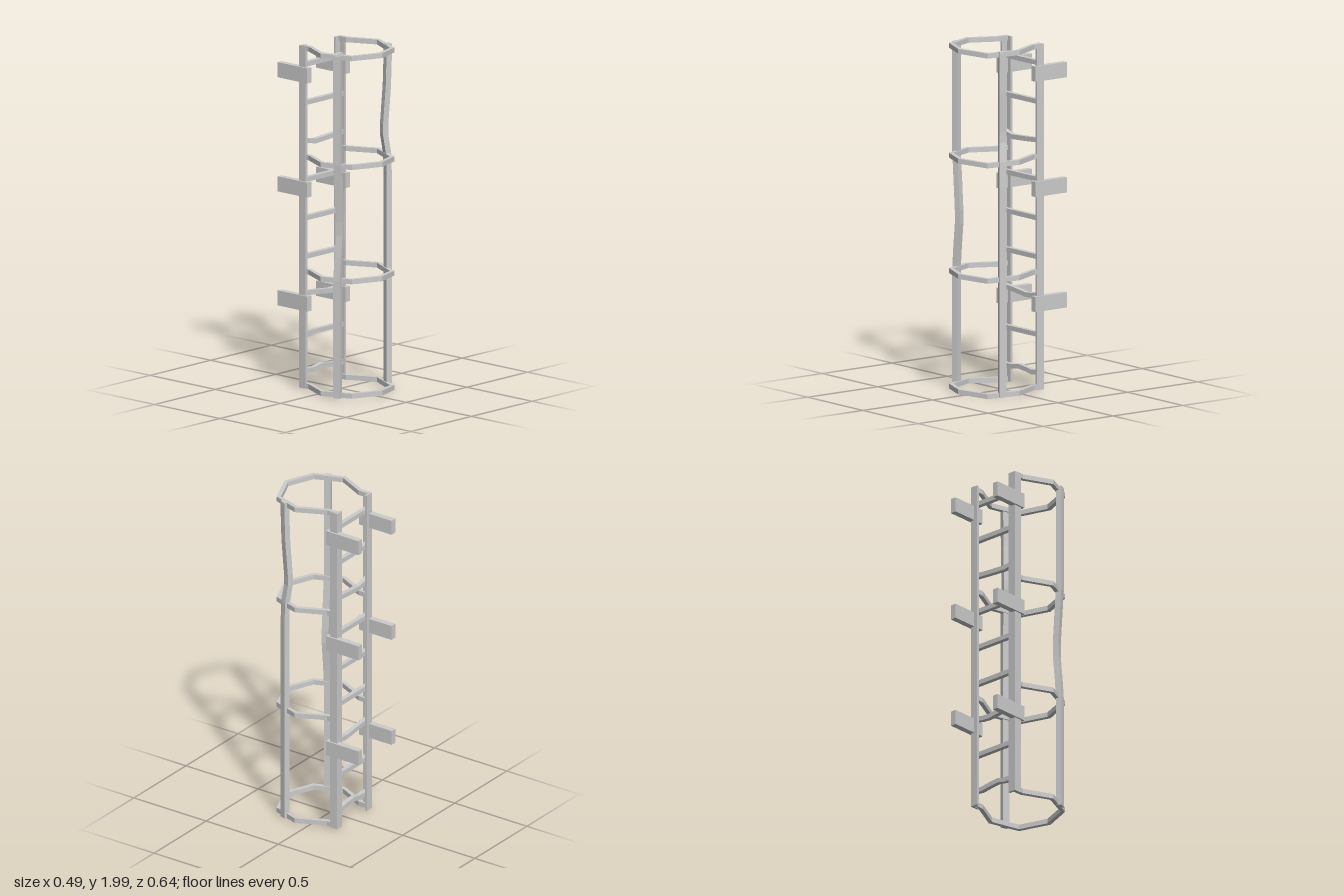
import * as THREE from 'three';

const material = new THREE.MeshStandardMaterial({ color: 0xcccccc, flatShading: true, side: THREE.DoubleSide });

// Skin a list of equal-sized rings (quads of [x, y, z]) into a closed solid
function loft(rings) {
  const n = rings[0].length, tris = [];
  for (let i = 0; i < rings.length - 1; i++) {
    for (let j = 0; j < n; j++) {
      const k = (j + 1) % n;
      const a = rings[i][j], b = rings[i][k], c = rings[i + 1][k], d = rings[i + 1][j];
      tris.push([a, b, c], [a, c, d]);
    }
  }
  const first = rings[0], last = rings[rings.length - 1];
  for (let j = 1; j < n - 1; j++) {
    tris.push([first[0], first[j + 1], first[j]], [last[0], last[j], last[j + 1]]);
  }
  // Turn the faces outward if the solid came out inverted
  const v = (p) => new THREE.Vector3(...p);
  const volume = tris.reduce((s, [a, b, c]) => s + v(a).dot(v(b).cross(v(c))), 0);
  if (volume < 0) tris.forEach((t) => t.reverse());
  const geometry = new THREE.BufferGeometry();
  geometry.setAttribute('position', new THREE.Float32BufferAttribute(tris.flat(2), 3));
  geometry.computeVertexNormals();
  return geometry;
}

// Bent hoop: half outline as [outerX, outerZ, innerX, innerZ], mirrored across x
function hoopGeometry(y) {
  const half = [
    [0.166, -0.15, 0.141, -0.15],
    [0.166, -0.096, 0.141, -0.093],
    [0.245, 0.071, 0.22, 0.071],
    [0.175, 0.246, 0.157, 0.228],
  ];
  const ring = ([ox, oz, ix, iz], s, dip) => {
    const lo = y - dip - 0.014, hi = y - dip + 0.014;
    return [[s * ox, lo, oz], [s * ox, hi, oz], [s * ix, hi, iz], [s * ix, lo, iz]];
  };
  return loft([
    ...half.map((p) => ring(p, -1, 0)),
    ring([0, 0.318, 0, 0.292], 1, 0),
    ...half.map((p, i) => ring(p, 1, i === 3 ? 0.01 : 0)).reverse(),
  ]);
}

// Upright guard bar, square to the hoop, pushed in at the dents [y, amount]
function guardBarGeometry(s, dents, dx, dz) {
  const t = [-0.37 * s, 0.93], n = [0.93 * s, 0.37];
  const corners = [[1, 1], [1, -1], [-1, -1], [-1, 1]];
  return loft(dents.map(([y, k]) => corners.map(([a, b]) => [
    0.207 * s + dx * k + a * 0.02 * t[0] + b * 0.0165 * n[0],
    y,
    0.166 + dz * k + a * 0.02 * t[1] + b * 0.0165 * n[1],
  ])));
}

// Rung following a list of [x, heightOffset]
function rungGeometry(y, path) {
  const r = 0.0135;
  return loft(path.map(([x, dy]) => [
    [x, y + dy - r, -0.138 - r], [x, y + dy + r, -0.138 - r],
    [x, y + dy + r, -0.138 + r], [x, y + dy - r, -0.138 + r],
  ]));
}

// Angle-section rail
function railGeometry(s) {
  const outline = [[0.167, 0.166], [0.119, 0.166], [0.119, 0.152], [0.153, 0.152], [0.153, 0.116], [0.167, 0.116]];
  const shape = new THREE.Shape(outline.map(([x, y]) => new THREE.Vector2(s * x, y)));
  const geometry = new THREE.ExtrudeGeometry(shape, { depth: 1.976, bevelEnabled: false });
  return geometry.rotateX(-Math.PI / 2).translate(0, 0.016, 0);
}

export function createModel() {
  const model = new THREE.Group();
  const add = (name, geometry) => {
    const mesh = new THREE.Mesh(geometry, material);
    mesh.name = name;
    model.add(mesh);
    return mesh;
  };

  // Ladder rails and wall brackets
  for (const [side, s] of [['left', 1], ['right', -1]]) {
    add(side + 'Rail', railGeometry(s));
    for (const y of [0.51, 1.168, 1.827]) {
      add(side + 'WallBracket', new THREE.BoxGeometry(0.036, 0.087, 0.226))
        .position.set(s * 0.159, y, -0.209);
    }
  }

  // Rungs, a few of them bent
  const straight = [[-0.155, 0], [0.155, 0]];
  const bent = {
    0: [[-0.155, 0.005], [-0.08, 0.004], [-0.02, 0.015], [0.05, 0.008], [0.1, 0], [0.155, 0.005]],
    2: [[-0.155, 0.012], [-0.06, 0.003], [0.05, -0.01], [0.1, -0.006], [0.155, 0.006]],
    6: [[-0.155, 0.008], [-0.12, -0.004], [-0.07, -0.013], [0.05, -0.006], [0.155, 0.002]],
  };
  for (let i = 0; i < 9; i++) add('rung', rungGeometry(0.11 + i * 0.222, bent[i] || straight));

  // Safety cage hoops
  for (const y of [0.033, 0.693, 1.353, 1.981]) add('cageHoop', hoopGeometry(y));

  // Dented guard bars
  add('leftGuardBar', guardBarGeometry(1,
    [[0.016, 0], [1.22, 0], [1.36, 0.2], [1.47, 0.95], [1.53, 0.95], [1.75, 0.25], [1.95, 0], [1.992, 0]],
    -0.018, -0.013));
  add('rightGuardBar', guardBarGeometry(-1,
    [[0.016, 0], [0.69, 0], [0.8, 0.35], [0.95, 1], [1.03, 1], [1.2, 0.5], [1.36, 0], [1.992, 0]],
    0.022, -0.001));

  return model;
}
